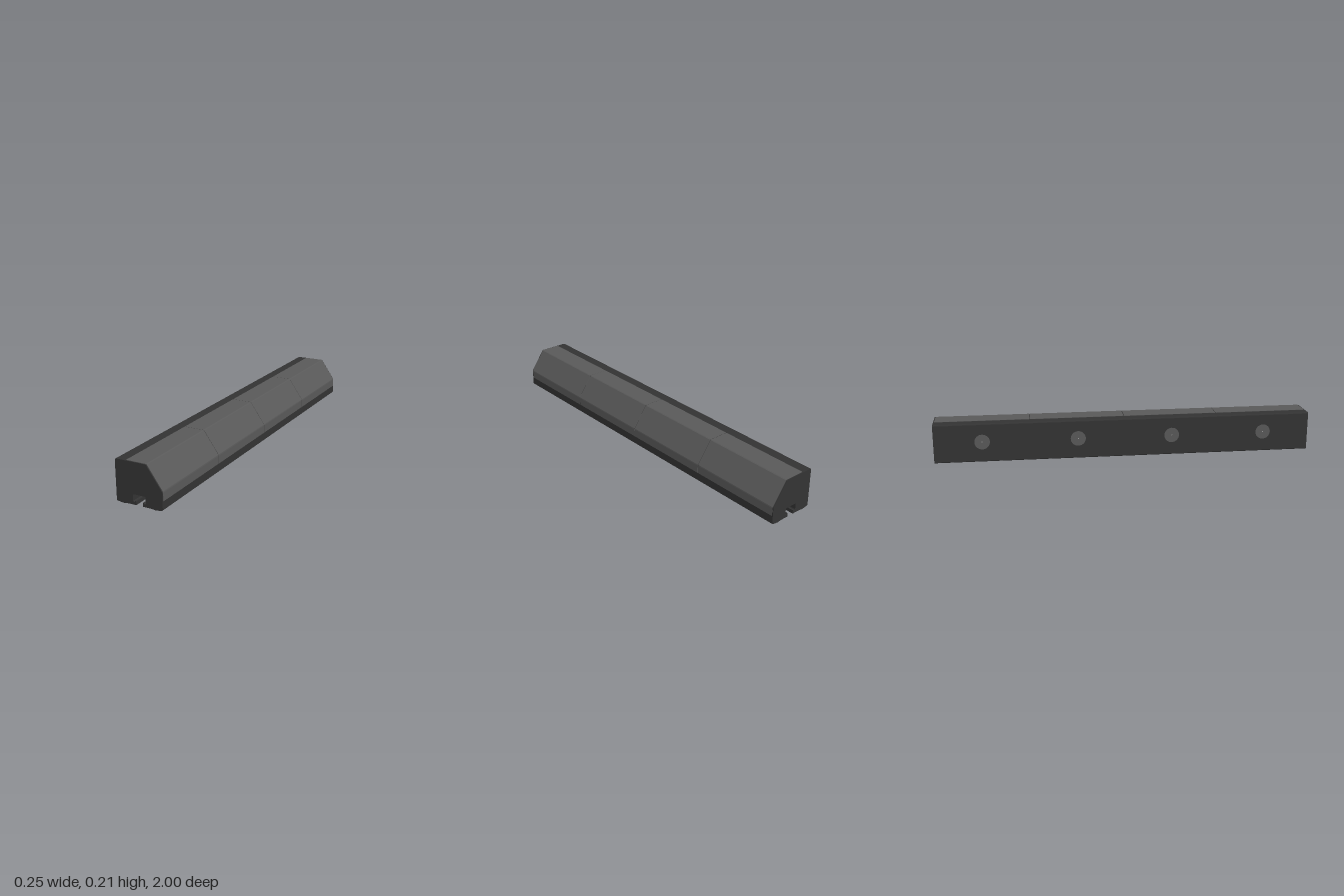
import * as THREE from 'three';

// Closed shape from a list of [x, y] points
const shapeOf = (pts) => new THREE.Shape(pts.map(([x, y]) => new THREE.Vector2(x, y)));

// Mirror a half outline across the slot axis, in reverse order
const mirrored = (pts) => pts.map(([x, y]) => [-x, y]).reverse();

export function createModel() {
  const group = new THREE.Group();
  const dark = new THREE.MeshStandardMaterial({ color: 0x333333 });
  dark.name = 'dark housing';
  const grey = new THREE.MeshStandardMaterial({ color: 0x595959 });
  grey.name = 'grey cover';
  const pale = new THREE.MeshStandardMaterial({ color: 0x9a9a9a });
  pale.name = 'pale pin';

  // Extrude a profile along z between z0 and z1
  const bar = (name, pts, z0, z1, material) => {
    const geo = new THREE.ExtrudeGeometry(shapeOf(pts), { depth: z1 - z0, bevelEnabled: false });
    geo.translate(0, 0, z0);
    const mesh = new THREE.Mesh(geo, material);
    mesh.name = name;
    group.add(mesh);
  };

  // Outer outline of the right half of the mounting rail, from the slot upward
  const railOuter = [
    [0.018, 0.003], [0.042, 0.003], [0.047, 0.007], [0.05, 0.014], [0.049, 0.034], [0.055, 0.037],
    [0.077, 0.027], [0.083, 0.027], [0.086, 0.031], [0.083, 0.036], [0.048, 0.063], [0.042, 0.065],
  ];
  // Inner slot outline of the right half, from the ceiling down to the lip
  const railInner = [
    [0.031, 0.054], [0.034, 0.051], [0.034, 0.021], [0.031, 0.017], [0.026, 0.017],
    [0.024, 0.022], [0.018, 0.022],
  ];
  bar('mountingRail', [
    ...railOuter, ...mirrored(railOuter), ...mirrored(railInner), ...railInner,
  ], -1, 1, dark);

  // Housing wraps around the rail, open at the bottom
  const channel = railOuter.slice(1);
  bar('housing', [
    ...channel, ...mirrored(channel),
    [-0.06, 0.003], [-0.085, 0], [-0.118, 0.004], [-0.124, 0.008],
    [-0.124, 0.204], [-0.122, 0.208], [-0.117, 0.21],
    [0.038, 0.21], [0.043, 0.208], [0.122, 0.096], [0.123, 0.091],
    [0.123, 0.008], [0.118, 0.004], [0.085, 0], [0.06, 0.003],
  ], -1, 1, dark);

  // Four thin cover panels folded over the top, slope and side
  const seam = 0.0015;
  const cover = [
    [-0.066, 0.209], [0.037, 0.209], [0.042, 0.207], [0.121, 0.095], [0.122, 0.091], [0.122, 0.05],
    [0.1245, 0.05], [0.1245, 0.092], [0.1235, 0.097], [0.0445, 0.209], [0.039, 0.2115], [-0.066, 0.2115],
  ];
  for (let i = 0; i < 4; i++) {
    const a = -1 + i * 0.5;
    bar('coverPanel', cover,
      i === 0 ? a + 0.005 : a + seam,
      i === 3 ? a + 0.495 : a + 0.5 - seam, grey);
  }

  // Round plugs with a centre pin on the flat wall
  const plugGeo = new THREE.CylinderGeometry(0.04, 0.04, 0.002, 32).rotateZ(Math.PI / 2);
  const pinGeo = new THREE.CylinderGeometry(0.003, 0.003, 0.003, 12).rotateZ(Math.PI / 2);
  for (const z of [-0.75, -0.25, 0.25, 0.75]) {
    const plug = new THREE.Mesh(plugGeo, grey);
    plug.name = 'wallPlug';
    plug.position.set(-0.1238, 0.112, z);
    const pin = new THREE.Mesh(pinGeo, pale);
    pin.name = 'plugPin';
    pin.position.set(-0.1238, 0.112, z);
    group.add(plug, pin);
  }
  return group;
}
